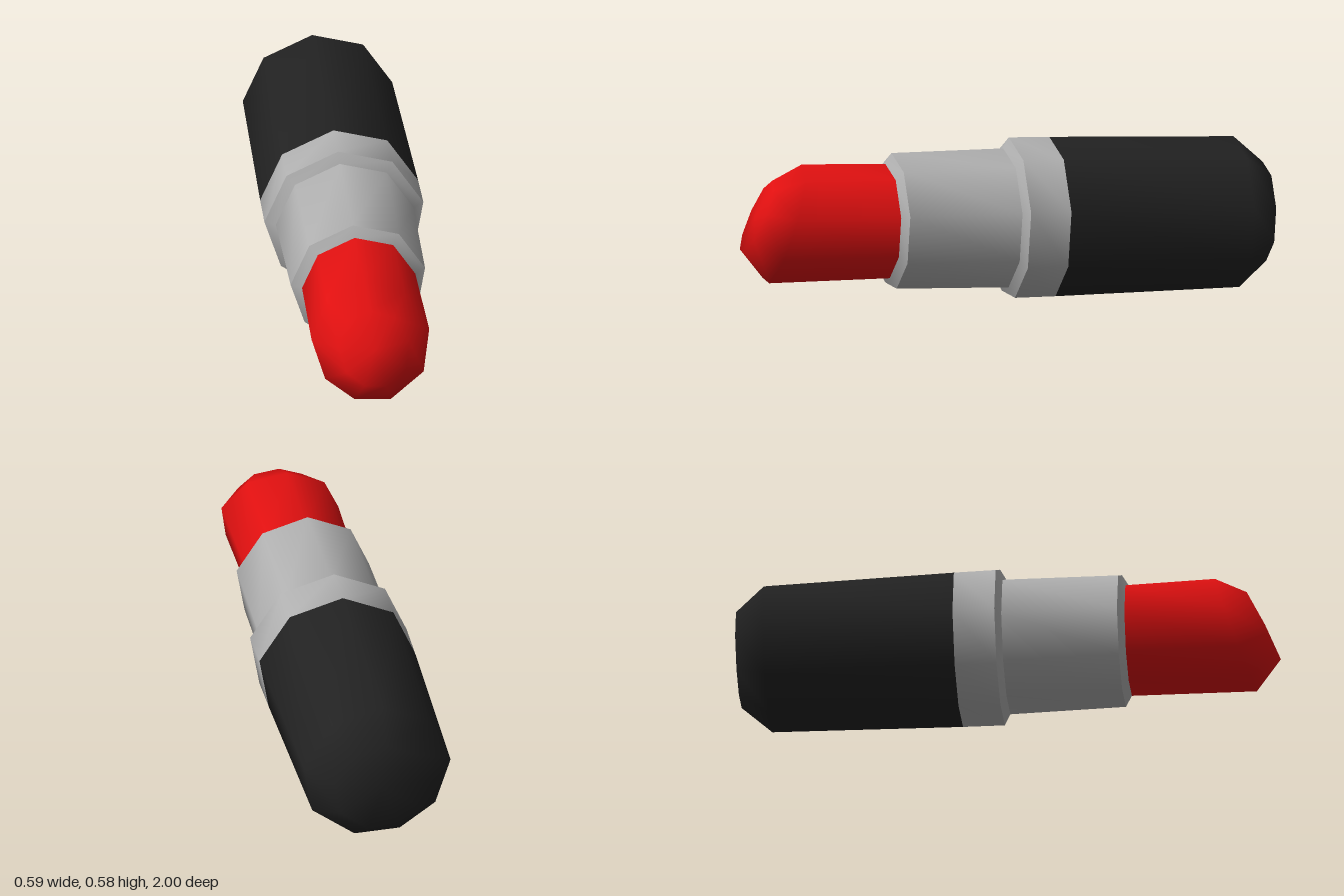
import * as THREE from 'three';

// Slightly uneven nine-sided cross-section, in degrees
const ANGLES = [11.2, 53.4, 94.5, 136.3, 177.5, 217.4, 251.5, 287, 329.4]
  .map(a => THREE.MathUtils.degToRad(a));
const N = ANGLES.length;

// Smooth loft along z. Ring: z, r, optional y shift and slopes of z over x and y.
// capBack / capFront are [y, z] of the centre point that closes an end.
function loft(rings, { capBack, capFront } = {}) {
  const pos = [], idx = [];
  for (const { z, r, y = 0, sx = 0, sy = 0 } of rings) {
    for (const a of ANGLES) {
      const px = Math.cos(a) * r, py = Math.sin(a) * r;
      pos.push(px, py + y, z + px * sx + py * sy);
    }
  }
  for (let k = 0; k < rings.length - 1; k++) {
    for (let i = 0; i < N; i++) {
      const a = k * N + i, b = k * N + (i + 1) % N;
      idx.push(a, b, b + N, a, b + N, a + N);
    }
  }
  const close = (cap, start, front) => {
    const c = pos.length / 3;
    pos.push(0, cap[0], cap[1]);
    for (let i = 0; i < N; i++) {
      const a = start + i, b = start + (i + 1) % N;
      idx.push(c, front ? a : b, front ? b : a);
    }
  };
  if (capBack) close(capBack, 0, false);
  if (capFront) close(capFront, (rings.length - 1) * N, true);
  const g = new THREE.BufferGeometry();
  g.setAttribute('position', new THREE.Float32BufferAttribute(pos, 3));
  g.setIndex(idx);
  g.computeVertexNormals();
  return g;
}

export function createModel() {
  const mat = (name, color) => {
    const m = new THREE.MeshStandardMaterial({ color });
    m.name = name;
    return m;
  };
  const black = mat('black', 0x222222);
  const silver = mat('silver', 0xb0b0b0);
  const red = mat('red', 0xe01010);

  const model = new THREE.Group();
  model.name = 'lipstick';
  const body = new THREE.Group();
  body.name = 'body';
  model.add(body);
  const add = (name, material, rings, caps) => {
    const m = new THREE.Mesh(loft(rings, caps), material);
    m.name = name;
    body.add(m);
  };

  // Black case with a rounded closed end
  add('case', black, [
    { z: -0.995, r: 0.184 }, { z: -0.885, r: 0.28 }, { z: -0.18, r: 0.296 },
  ], { capBack: [0, -0.995] });

  // Silver collar, its step, the inner tube and its front bevel
  add('collar', silver, [{ z: -0.18, r: 0.296 }, { z: -0.025, r: 0.298 }]);
  add('collarStep', silver, [{ z: -0.025, r: 0.298 }, { z: -0.003, r: 0.258 }]);
  add('innerTube', silver, [{ z: -0.003, r: 0.258 }, { z: 0.425, r: 0.252 }]);
  add('tubeBevel', silver, [{ z: 0.425, r: 0.252 }, { z: 0.45, r: 0.21 }]);

  // Red stick with a slanted, rounded tip
  add('stick', red, [
    { z: 0.44, r: 0.212 },
    { z: 0.839, r: 0.219, sx: 0.09, sy: -0.316 },
    { z: 0.943, r: 0.132, y: 0.03, sx: 0.1, sy: -0.45 },
  ], { capFront: [0.03, 0.95] });

  // Slight lean of the whole body
  body.rotation.set(-0.0125, -0.015, 0);
  body.position.set(0.001, 0.287, 0);
  return model;
}
